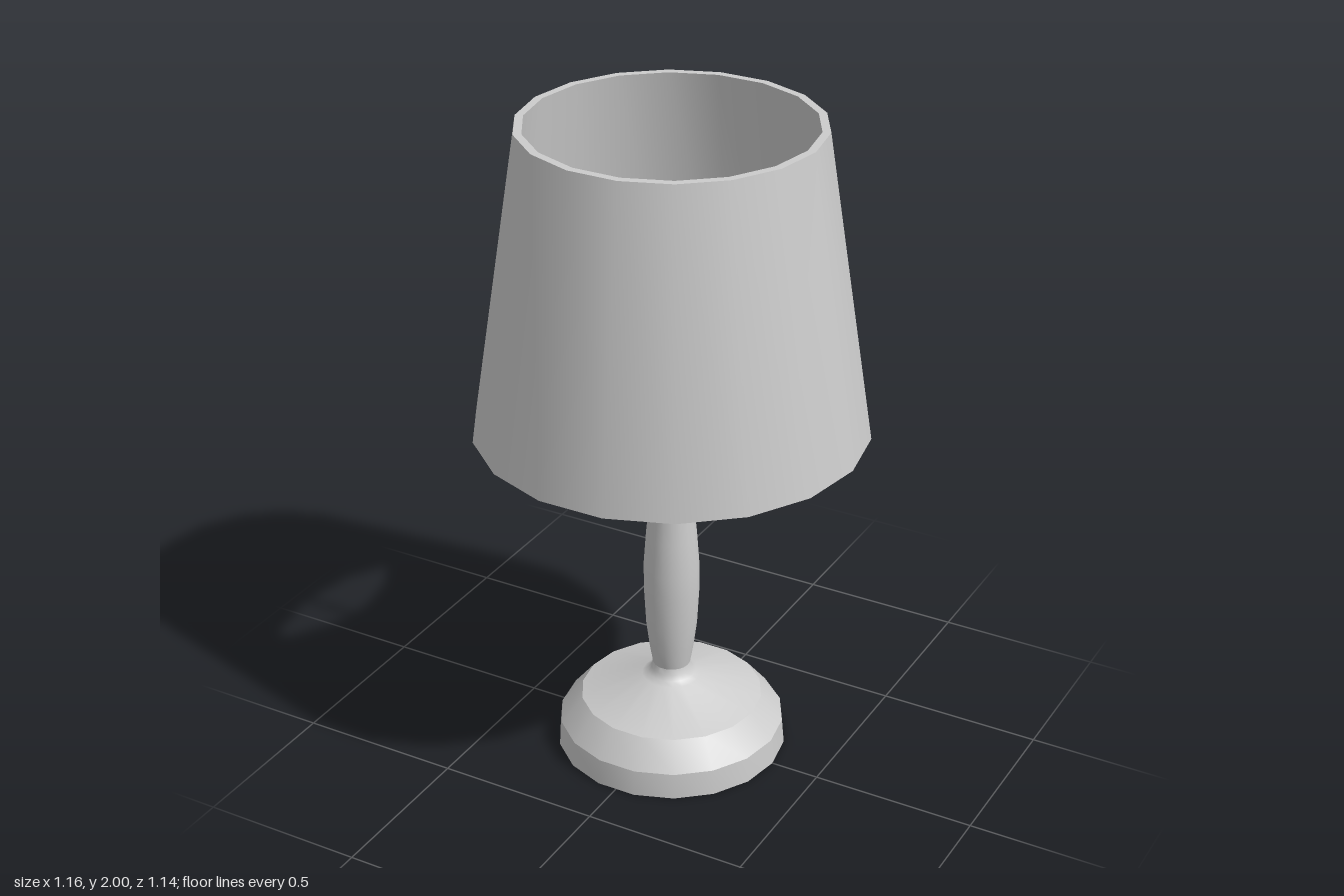
import * as THREE from 'three';
import { toCreasedNormals } from 'three/addons/utils/BufferGeometryUtils.js';

const SIDES = 18;
const CREASE = 0.5;

export function createModel() {
  const lamp = new THREE.Group();
  lamp.name = 'tableLamp';
  const material = new THREE.MeshStandardMaterial({ color: 0xcccccc });

  const add = (name, geometry) => {
    const mesh = new THREE.Mesh(geometry, material);
    mesh.name = name;
    lamp.add(mesh);
    return mesh;
  };

  // Turned part from [radius, height] points, with a corner on the x axis
  const turned = (points, sides = SIDES) => {
    const profile = points.map(([r, y]) => new THREE.Vector2(r, y));
    return toCreasedNormals(new THREE.LatheGeometry(profile, sides, Math.PI / 2), CREASE);
  };

  // Foot with a bevelled shoulder, sweeping up into the neck
  add('base', turned([
    [0, 0], [0.35, 0], [0.343, 0.08], [0.277, 0.16],
    [0.09, 0.222], [0.073, 0.232], [0.062, 0.247], [0.057, 0.265],
  ]));

  // Swelling stem, closed under the bulb
  add('stem', turned([
    [0.057, 0.265], [0.068, 0.33], [0.078, 0.41], [0.084, 0.52], [0.085, 0.6],
    [0.077, 0.71], [0.066, 0.82], [0.058, 0.91], [0.054, 1.0], [0.053, 1.2], [0, 1.2],
  ]));

  // Bulb: round globe with a flared neck
  const bulbPoints = [[0.046, 1.2], [0.05, 1.218], [0.062, 1.236]];
  const globeY = 1.33, globeR = 0.11;
  for (let i = 0; i <= 12; i++) {
    const a = THREE.MathUtils.lerp(-0.8, Math.PI / 2, i / 12);
    bulbPoints.push([Math.max(0, globeR * Math.cos(a)), globeY + globeR * Math.sin(a)]);
  }
  add('bulb', turned(bulbPoints, 32));

  // Tapered shade with a wall thickness, open at both ends
  add('shade', turned([
    [0.555, 1.075], [0.58, 1.075], [0.437, 2], [0.413, 2], [0.555, 1.075],
  ]));

  // Four spokes carrying the shade
  const inner = 0.04, outer = 0.55;
  for (let i = 0; i < 4; i++) {
    const rod = new THREE.CylinderGeometry(0.011, 0.011, outer - inner, 8);
    rod.rotateZ(Math.PI / 2);
    rod.translate((inner + outer) / 2, 1.115, 0);
    rod.rotateY(i * Math.PI / 2);
    add('shadeSpoke', rod);
  }

  return lamp;
}
